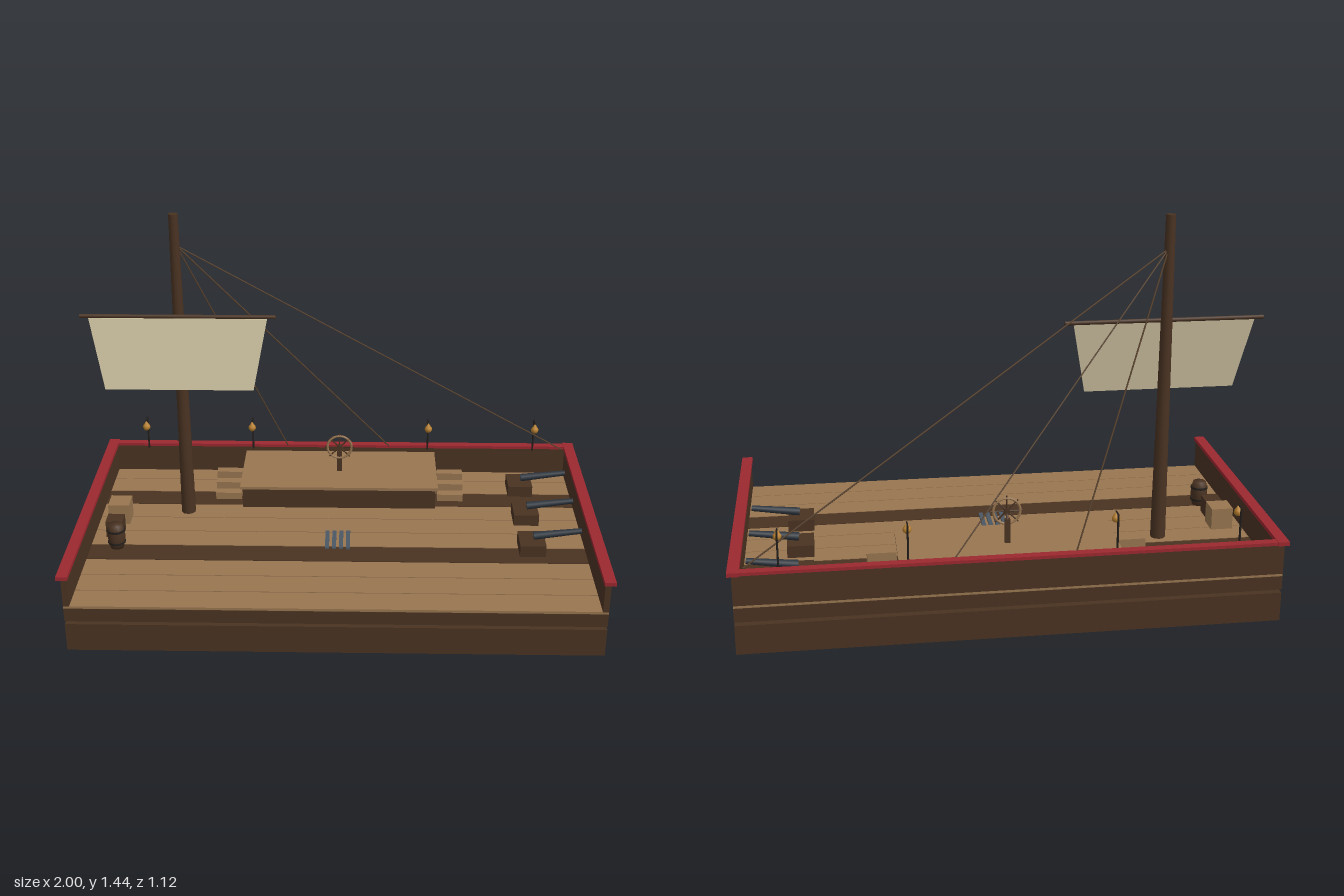
import * as THREE from 'three';

const mat = (name, color) => {
  const m = new THREE.MeshStandardMaterial({ color });
  m.name = name;
  return m;
};

export function createModel() {
  const dark = mat('darkWood', 0x4a3322);
  const tan = mat('deckWood', 0x997650);
  const red = mat('railRed', 0x9c2830);
  const canvas = mat('sailCanvas', 0xd2c6a4);
  canvas.side = THREE.DoubleSide;
  const iron = mat('gunIron', 0x2c343d);
  const steel = mat('grateSteel', 0x4c5865);
  const gold = mat('lanternGold', 0xb9812f);
  const rope = mat('rope', 0x5a432e);
  const black = mat('blackIron', 0x231f1c);

  const root = new THREE.Group();
  root.name = 'shipDeck';

  const add = (name, geo, m, x = 0, y = 0, z = 0, parent = root) => {
    const mesh = new THREE.Mesh(geo, m);
    mesh.name = name;
    mesh.position.set(x, y, z);
    parent.add(mesh);
    return mesh;
  };
  // Box given by its lower and upper limits on each axis
  const box = (name, m, [x0, x1], [y0, y1], [z0, z1], parent = root) =>
    add(name, new THREE.BoxGeometry(x1 - x0, y1 - y0, z1 - z0), m,
      (x0 + x1) / 2, (y0 + y1) / 2, (z0 + z1) / 2, parent);
  // Round bar between two points
  const bar = (name, m, a, b, r0, r1 = r0, sides = 6, parent = root) => {
    const p = new THREE.Vector3(...a), q = new THREE.Vector3(...b);
    const d = q.clone().sub(p);
    const mesh = add(name, new THREE.CylinderGeometry(r1, r0, d.length(), sides), m, 0, 0, 0, parent);
    mesh.position.copy(p).add(q).multiplyScalar(0.5);
    mesh.quaternion.setFromUnitVectors(new THREE.Vector3(0, 1, 0), d.normalize());
    return mesh;
  };
  const group = (name, x = 0, y = 0, z = 0) => {
    const g = new THREE.Group();
    g.name = name;
    g.position.set(x, y, z);
    root.add(g);
    return g;
  };

  const W = 0.985, D = 0.55, deckY = 0.188;

  // Hull strakes with an open seam between them
  box('lowerHull', dark, [-W, W], [0, 0.112], [-D, D]);
  box('upperHull', dark, [-W, W], [0.125, 0.178], [-D, D]);

  // Deck planks, every fourth one dark
  for (let i = 0; i < 10; i++) {
    const z = -D + i * 0.11;
    box('deckPlank', i % 4 === 2 ? dark : tan, [-W, W], [0.178, deckY], [z + 0.002, z + 0.108]);
  }

  // Bulwarks and red rails on three sides
  box('backWall', dark, [-W, W], [deckY, 0.304], [-D, -D + 0.022]);
  box('backRail', red, [-0.96, 0.96], [0.304, 0.316], [-0.556, -0.524]);
  for (const s of [-1, 1]) {
    box('sideWall', dark, [s * 0.974 - 0.011, s * 0.974 + 0.011], [deckY, 0.304], [-D + 0.022, D]);
    box('sideRail', red, [s * 0.979 - 0.021, s * 0.979 + 0.021], [0.303, 0.318], [-0.56, 0.56]);
  }

  // Raised helm platform
  box('platformBody', dark, [-0.395, 0.395], [deckY, 0.272], [-0.528, -0.2]);
  box('platformTop', tan, [-0.405, 0.405], [0.272, 0.284], [-0.528, -0.195]);

  // Stairs at both ends of the platform
  for (const s of [-1, 1]) {
    for (let i = 0; i < 3; i++) {
      const z = -0.265 - i * 0.037;
      box('stairStep', tan, [s * 0.46 - 0.053, s * 0.46 + 0.053],
        [deckY, deckY + 0.03 * (i + 1)], [z - 0.037, z]);
    }
  }

  // Steering wheel on its post
  box('wheelPost', dark, [-0.01, 0.01], [0.284, 0.376], [-0.362, -0.344]);
  const wheel = group('steeringWheel', 0, 0.4, -0.336);
  add('wheelRim', new THREE.TorusGeometry(0.05, 0.005, 6, 24), tan, 0, 0, 0, wheel);
  const hub = add('wheelHub', new THREE.CylinderGeometry(0.011, 0.011, 0.018, 10), dark, 0, 0, 0, wheel);
  hub.rotation.x = Math.PI / 2;
  bar('wheelAxle', dark, [0, -0.03, -0.017], [0, 0, 0], 0.005, 0.005, 6, wheel);
  for (let i = 0; i < 8; i++) {
    const a = i * Math.PI / 4;
    bar('wheelSpoke', dark, [0, 0, 0], [Math.cos(a) * 0.06, Math.sin(a) * 0.06, 0], 0.003, 0.003, 5, wheel);
  }

  // Mast, yard and sail
  bar('mast', dark, [-0.615, deckY, -0.165], [-0.615, 1.445, -0.165], 0.029, 0.018, 10);
  bar('yard', dark, [-0.99, 1.047, -0.142], [-0.24, 1.047, -0.142], 0.008, 0.008, 8);
  const sailGeo = new THREE.BoxGeometry(0.684, 0.275, 0.005);
  const p = sailGeo.attributes.position;
  for (let i = 0; i < p.count; i++) {
    if (p.getY(i) < 0) { // lower edge is narrower and swings forward
      p.setX(i, p.getX(i) * 0.84);
      p.setZ(i, p.getZ(i) + 0.05);
    }
  }
  sailGeo.computeVertexNormals();
  add('sail', sailGeo, canvas, -0.615, 0.9025, -0.139);

  // Rigging from the masthead to the back rail
  for (const [x, z] of [[-0.225, -0.526], [0.21, -0.526], [0.945, -0.51]]) {
    bar('riggingRope', rope, [-0.61, 1.32, -0.17], [x, 0.312, z], 0.003);
  }

  // Lanterns hanging from bracket posts
  for (const x of [-0.824, -0.374, 0.374, 0.824]) {
    const g = group('lantern', x, 0, 0);
    bar('lanternPost', black, [0, 0.3, -0.52], [0, 0.444, -0.52], 0.004, 0.004, 6, g);
    bar('lanternArm', black, [0, 0.442, -0.522], [0, 0.442, -0.484], 0.003, 0.003, 6, g);
    add('lanternGlass', new THREE.SphereGeometry(0.016, 8, 6), gold, 0, 0.414, -0.485, g);
    add('lanternCap', new THREE.ConeGeometry(0.011, 0.018, 8), gold, 0, 0.434, -0.485, g);
  }

  // Cannons aimed over the left side
  for (const z of [-0.367, -0.125, 0.115]) {
    const g = group('cannon', 0, 0, z);
    box('cannonBase', dark, [0.705, 0.805], [deckY, 0.235], [-0.058, 0.058], g);
    bar('cannonBarrel', iron, [0.76, 0.248, 0], [0.945, 0.272, 0], 0.016, 0.011, 10, g);
  }

  // Deck grate
  for (let i = 0; i < 4; i++) {
    const x = -0.041 + i * 0.0273;
    box('grateBar', steel, [x - 0.008, x + 0.008], [deckY, 0.196], [0, 0.13]);
  }

  // Cargo: two crates and a barrel
  box('largeCrate', tan, [-0.922, -0.838], [deckY, 0.273], [-0.134, -0.05]);
  box('smallCrate', dark, [-0.915, -0.849], [deckY, 0.256], [-0.012, 0.054]);
  const profile = [[0, 0], [0.026, 0], [0.032, 0.025], [0.034, 0.05], [0.032, 0.075], [0.026, 0.1], [0, 0.1]];
  const barrel = group('barrel', -0.86, deckY, 0.125);
  add('barrelStaves', new THREE.LatheGeometry(profile.map(v => new THREE.Vector2(...v)), 14), dark, 0, 0, 0, barrel);
  for (const y of [0.025, 0.075]) {
    add('barrelHoop', new THREE.CylinderGeometry(0.0345, 0.0345, 0.008, 14), black, 0, y, 0, barrel);
  }
  return root;
}
